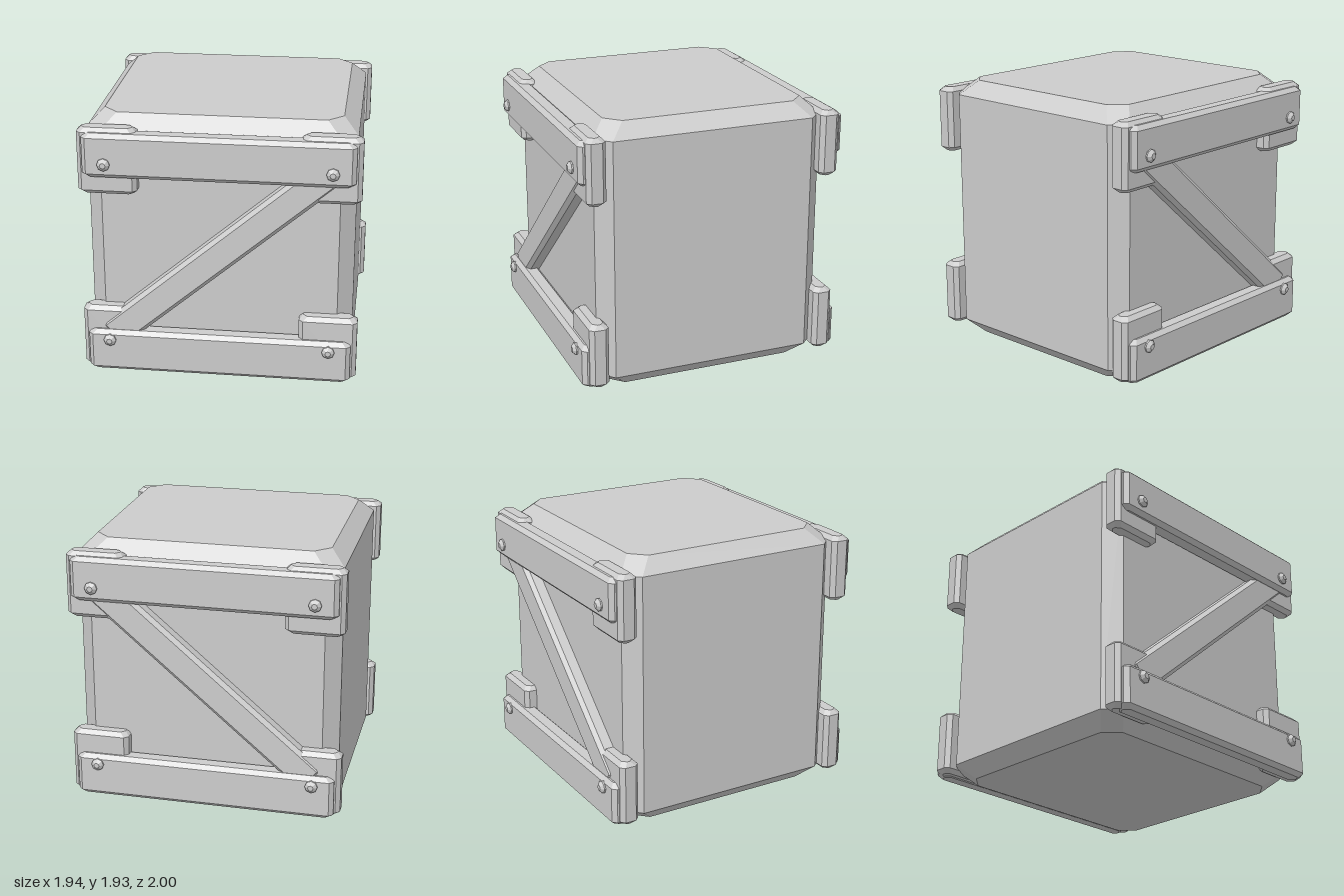
import * as THREE from 'three';
import { ConvexGeometry } from 'three/addons/geometries/ConvexGeometry.js';

// Box with every edge cut by c: octagonal sections, narrowed at top and bottom
function chamferedBox(w, h, d, c) {
  const points = [];
  const ring = (x, z, y) => {
    for (const sx of [-1, 1]) for (const sz of [-1, 1]) {
      points.push(new THREE.Vector3(sx * x, y, sz * (z - c)));
      points.push(new THREE.Vector3(sx * (x - c), y, sz * z));
    }
  };
  for (const s of [-1, 1]) {
    ring(w / 2, d / 2, s * (h / 2 - c));
    ring(w / 2 - c, d / 2 - c, s * h / 2);
  }
  return new ConvexGeometry(points);
}

export function createModel() {
  const model = new THREE.Group();
  model.name = 'crate';
  const grey = new THREE.MeshStandardMaterial({ color: 0xcccccc });
  grey.name = 'light grey';

  const add = (parent, name, geometry, x, y, z) => {
    const mesh = new THREE.Mesh(geometry, grey);
    mesh.name = name;
    mesh.position.set(x, y, z);
    parent.add(mesh);
    return mesh;
  };

  // Main block
  add(model, 'body', chamferedBox(1.86, 1.935, 1.67, 0.105), 0, 0.9675, 0);

  const board = chamferedBox(1.86, 0.315, 0.14, 0.03);
  const plate = chamferedBox(0.41, 0.475, 0.14, 0.03);
  const brace = chamferedBox(2.03, 0.228, 0.13, 0.028);

  // Eight-sided bolt head pointing along +z
  const bolt = new THREE.LatheGeometry([
    new THREE.Vector2(0.045, -0.02), new THREE.Vector2(0.045, 0.014),
    new THREE.Vector2(0.02, 0.035), new THREE.Vector2(0, 0.035),
  ], 8).toNonIndexed();
  bolt.rotateX(Math.PI / 2);
  bolt.computeVertexNormals();

  // Framing of one end; side is +1 for the front and -1 for the back
  for (const side of [1, -1]) {
    const frame = new THREE.Group();
    frame.name = side > 0 ? 'frontFrame' : 'backFrame';
    model.add(frame);

    add(frame, 'diagonalBrace', brace, 0, 0.978, side * 0.87).rotation.z = 0.709;

    for (const [level, boardY, plateY, boltY] of [
      ['upper', 1.692, 1.637, 1.637],
      ['lower', 0.215, 0.302, 0.305],
    ]) {
      add(frame, level + 'Board', board, 0, boardY, side * 0.898);
      for (const sx of [-1, 1]) {
        const hand = sx > 0 ? 'Left' : 'Right';
        add(frame, level + hand + 'CornerPlate', plate, sx * 0.766, plateY, side * 0.855);
        const head = add(frame, level + hand + 'Bolt', bolt, sx * 0.775, boltY, side * 0.965);
        if (side < 0) head.rotation.y = Math.PI;
      }
    }
  }
  return model;
}
